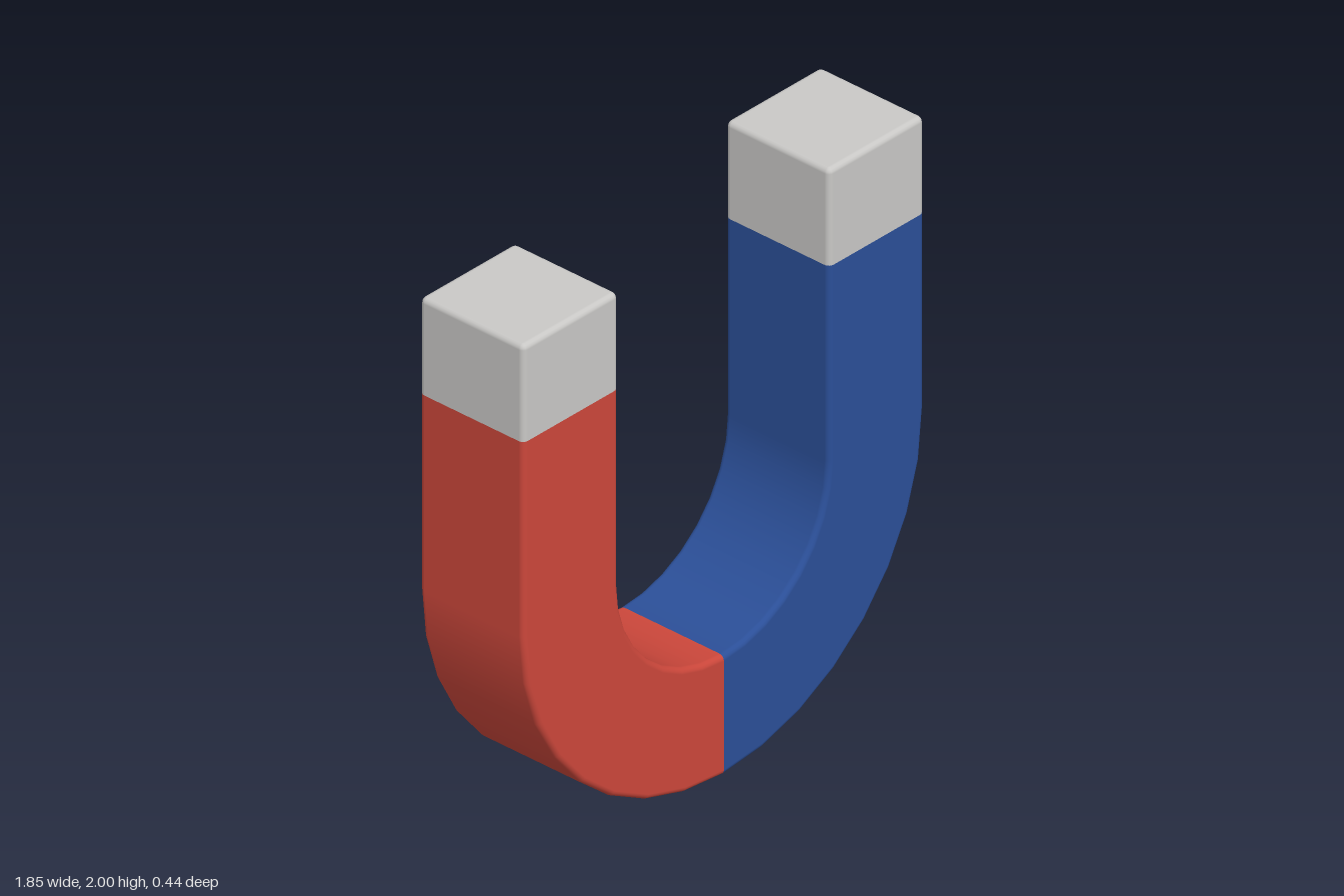
import * as THREE from 'three';

const HALF = 0.22;      // half the bar's square section
const ROUND = 0.02;     // edge rounding
const BEND = 0.707;     // bend radius at the bar's middle
const CENTRE_Y = BEND + HALF;
const TIP_Y = 1.645;
const TOP_Y = 2;

const red = new THREE.MeshStandardMaterial({ color: 0xcc473b });
red.name = 'red paint';
const blue = new THREE.MeshStandardMaterial({ color: 0x2b4f98 });
blue.name = 'blue paint';
const steel = new THREE.MeshStandardMaterial({ color: 0xc9c8c6 });
steel.name = 'bare steel';

// Rounded square section: corner centres (u, v) with their normals (nu, nv)
function roundedSection(steps = 4) {
  const points = [];
  const c = HALF - ROUND;
  [[1, 1], [-1, 1], [-1, -1], [1, -1]].forEach(([su, sv], corner) => {
    for (let i = 0; i <= steps; i++) {
      const a = (corner + i / steps) * Math.PI / 2;
      points.push({ u: su * c, v: sv * c, nu: Math.cos(a), nv: Math.sin(a) });
    }
  });
  return points;
}

// Sweeps the section through rings; angle turns round the bend, tilt rounds the end
function sweep(rings, side, capped) {
  const section = roundedSection();
  const n = section.length;
  const position = [], normal = [], index = [];
  const triangle = (a, b, c) => (side > 0 ? index.push(a, b, c) : index.push(a, c, b));

  rings.forEach(({ angle, y, tilt = 0 }, r) => {
    const ox = Math.sin(angle), oy = -Math.cos(angle);
    for (const p of section) {
      const nu = p.nu * Math.cos(tilt), nv = p.nv * Math.cos(tilt), up = Math.sin(tilt);
      const d = BEND + p.u + ROUND * nu;
      position.push(side * ox * d, y + oy * d + ROUND * up, p.v + ROUND * nv);
      normal.push(side * ox * nu, oy * nu + up, nv);
    }
    if (r === 0) return;
    for (let j = 0; j < n; j++) {
      const a = (r - 1) * n + j, b = (r - 1) * n + (j + 1) % n;
      triangle(a, a + n, b);
      triangle(b, a + n, b + n);
    }
  });

  // Flat end across the last ring
  if (capped) {
    const base = (rings.length - 1) * n, q = n / 4;
    triangle(base, base + 2 * q, base + q);
    triangle(base, base + 3 * q, base + 2 * q);
  }

  const geometry = new THREE.BufferGeometry();
  geometry.setAttribute('position', new THREE.Float32BufferAttribute(position, 3));
  geometry.setAttribute('normal', new THREE.Float32BufferAttribute(normal, 3));
  geometry.setIndex(index);
  return geometry;
}

function part(name, geometry, material) {
  const mesh = new THREE.Mesh(geometry, material);
  mesh.name = name;
  return mesh;
}

export function createModel() {
  const group = new THREE.Group();
  group.name = 'horseshoeMagnet';
  const quarter = Math.PI / 2;

  // Painted arm: quarter bend, then the straight leg
  const armRings = [];
  for (let i = 0; i <= 8; i++) armRings.push({ angle: quarter * i / 8, y: CENTRE_Y });
  armRings.push({ angle: quarter, y: TIP_Y });

  // Bare tip with a rounded upper edge
  const tipRings = [{ angle: quarter, y: TIP_Y }];
  for (let i = 0; i <= 4; i++) {
    tipRings.push({ angle: quarter, y: TOP_Y - ROUND, tilt: quarter * i / 4 });
  }

  for (const [side, label, paint] of [[1, 'left', blue], [-1, 'right', red]]) {
    group.add(part(label + 'Arm', sweep(armRings, side, false), paint));
    group.add(part(label + 'Tip', sweep(tipRings, side, true), steel));
  }
  return group;
}
